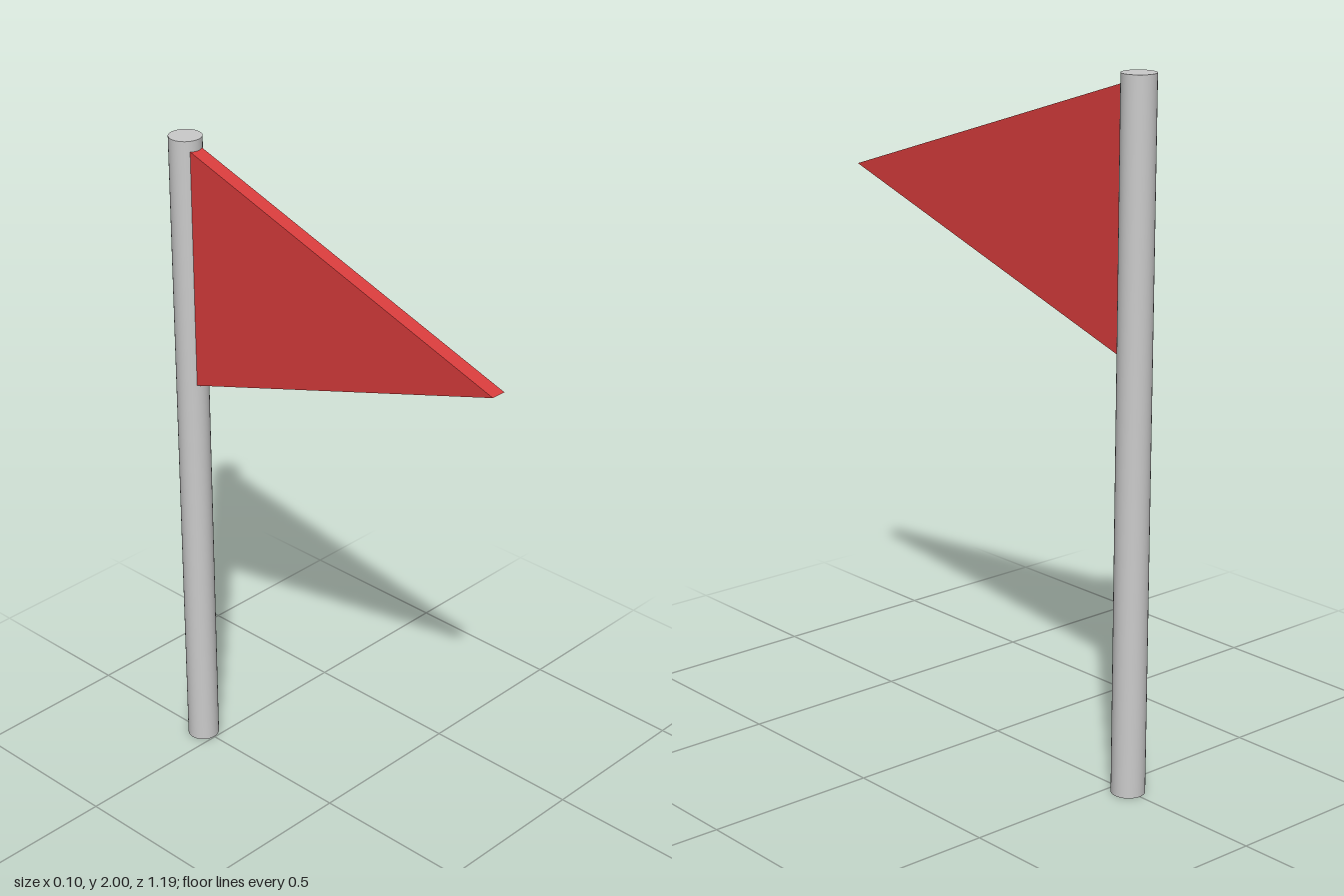
import * as THREE from 'three';

const POLE_Z = -0.55;
const POLE_RADIUS = 0.048;
const FLAG_THICKNESS = 0.045;

export function createModel() {
  const group = new THREE.Group();
  group.name = 'pennantOnPole';

  // Round upright pole
  const pole = new THREE.Mesh(
    new THREE.CylinderGeometry(POLE_RADIUS, POLE_RADIUS, 2, 32),
    new THREE.MeshStandardMaterial({ color: 0xcccccc })
  );
  pole.name = 'pole';
  pole.position.set(0, 1, POLE_Z);
  group.add(pole);

  // Triangular pennant, its base buried in the pole, pointing forward
  const outline = new THREE.Shape([
    new THREE.Vector2(POLE_Z, 1.235),
    new THREE.Vector2(0.597, 1.607),
    new THREE.Vector2(POLE_Z, 1.983),
  ]);
  const flagGeometry = new THREE.ExtrudeGeometry(outline, { depth: FLAG_THICKNESS, bevelEnabled: false });
  flagGeometry.translate(0, 0, -FLAG_THICKNESS / 2);
  flagGeometry.rotateY(-Math.PI / 2);
  const flag = new THREE.Mesh(flagGeometry, new THREE.MeshStandardMaterial({ color: 0xd83c3c }));
  flag.name = 'pennant';
  group.add(flag);

  return group;
}
